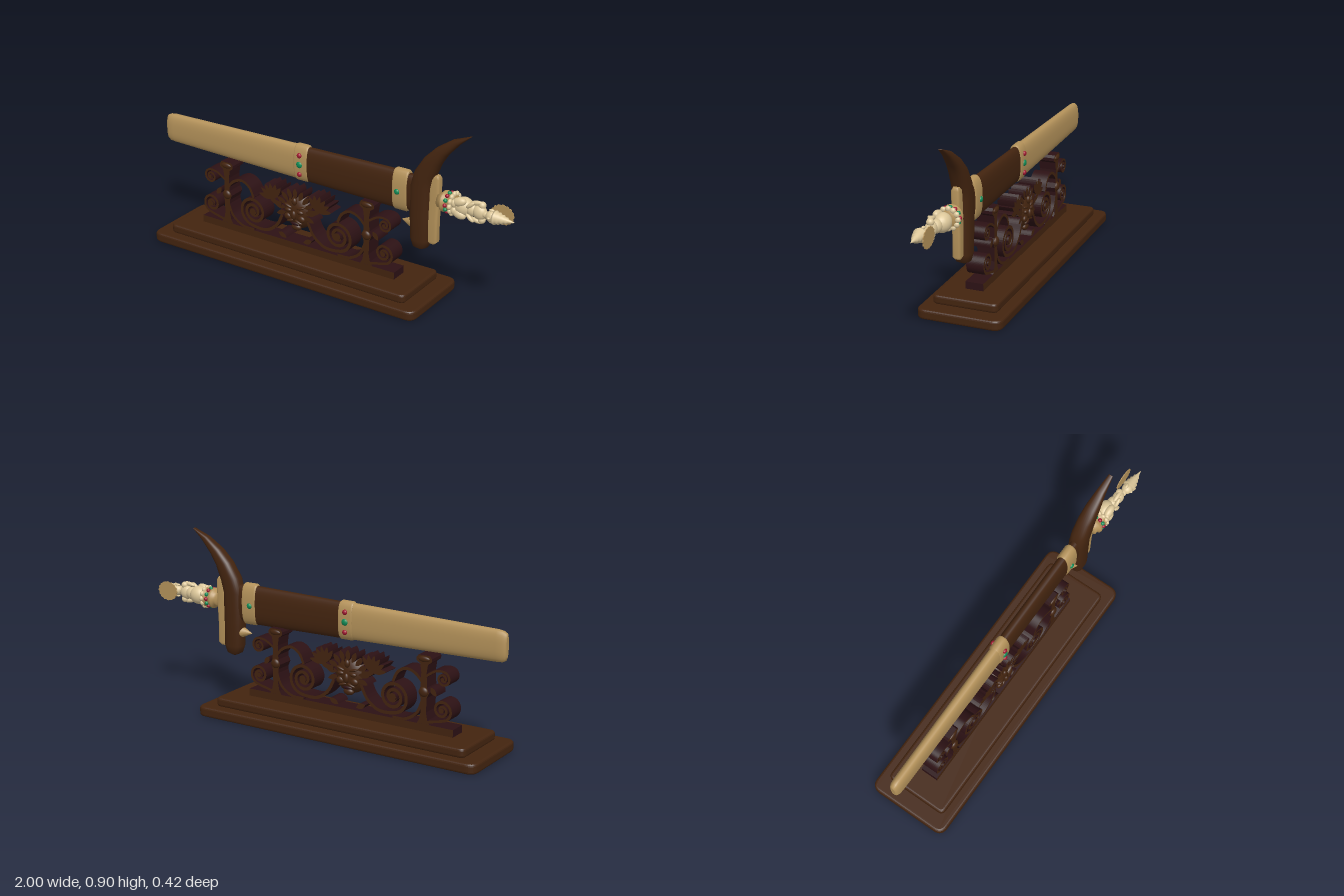
import * as THREE from 'three';

const mat = (name, color, side = THREE.FrontSide) => {
  const m = new THREE.MeshStandardMaterial({ color, side });
  m.name = name;
  return m;
};

export function createModel() {
  const root = new THREE.Group();
  const wood = mat('brown wood', 0x43240f);
  const core = mat('dark carving sides', 0x2c1114);
  const tan = mat('tan horn', 0xb4925a, THREE.DoubleSide);
  const ivory = mat('pale ivory', 0xdcc79a);
  const red = mat('red gem', 0xa01830);
  const green = mat('green gem', 0x0f8a55);
  const carved = [wood, core];

  const add = (name, geo, material, x = 0, y = 0, z = 0) => {
    const m = new THREE.Mesh(geo, material);
    m.name = name;
    m.position.set(x, y, z);
    root.add(m);
    return m;
  };
  const ball = (name, material, x, y, z, rx, ry = rx, rz = rx) => {
    const m = add(name, new THREE.SphereGeometry(1, 20, 14), material, x, y, z);
    m.scale.set(rx, ry, rz);
    return m;
  };
  const extrude = (name, shape, depth, material, bevel = 0) => {
    const geo = new THREE.ExtrudeGeometry(shape, {
      depth: depth - 2 * bevel, curveSegments: 10, bevelEnabled: bevel > 0,
      bevelSize: bevel, bevelThickness: bevel, bevelSegments: 3, bevelOffset: -bevel });
    geo.translate(0, 0, -depth / 2 + bevel);
    return add(name, geo, material);
  };

  // Loft through sections [leftX, leftY, rightX, rightY, halfDepth], superellipse power p
  function loft(name, sections, material, p = 2.5, n = 32) {
    const pos = [], idx = [];
    const ring = ([lx, ly, rx, ry, h]) => {
      for (let j = 0; j < n; j++) {
        const t = (j / n) * Math.PI * 2;
        const c = Math.sign(Math.cos(t)) * Math.abs(Math.cos(t)) ** (2 / p);
        const s = Math.sign(Math.sin(t)) * Math.abs(Math.sin(t)) ** (2 / p);
        pos.push((lx + rx) / 2 + c * (lx - rx) / 2, (ly + ry) / 2 + c * (ly - ry) / 2, s * h);
      }
    };
    sections.forEach(ring);
    for (let i = 0; i < sections.length - 1; i++) for (let j = 0; j < n; j++) {
      const k = (j + 1) % n, a = i * n + j, b = i * n + k;
      idx.push(a, b, a + n, b, b + n, a + n);
    }
    [sections[0], sections[sections.length - 1]].forEach((s, end) => {
      const start = pos.length / 3;
      ring(s);
      pos.push((s[0] + s[2]) / 2, (s[1] + s[3]) / 2, 0);
      for (let j = 0; j < n; j++) {
        const a = start + j, b = start + (j + 1) % n;
        idx.push(start + n, ...(end ? [a, b] : [b, a]));
      }
    });
    const geo = new THREE.BufferGeometry();
    geo.setAttribute('position', new THREE.Float32BufferAttribute(pos, 3));
    geo.setIndex(idx);
    geo.computeVertexNormals();
    return add(name, geo, material);
  }

  // Stepped base
  function slab(name, x0, x1, hz, y, h, r) {
    const s = new THREE.Shape(), w = x1 - x0;
    s.moveTo(x0 + r, -hz).lineTo(x1 - r, -hz).quadraticCurveTo(x1, -hz, x1, -hz + r)
      .lineTo(x1, hz - r).quadraticCurveTo(x1, hz, x1 - r, hz).lineTo(x0 + r, hz)
      .quadraticCurveTo(x0, hz, x0, hz - r).lineTo(x0, -hz + r).quadraticCurveTo(x0, -hz, x0 + r, -hz);
    const m = extrude(name, s, h, wood, 0.012);
    m.rotation.x = -Math.PI / 2;
    m.position.y = y + h / 2;
  }
  slab('baseLower', -0.96, 0.59, 0.212, 0, 0.05, 0.05);
  slab('baseUpper', -0.88, 0.51, 0.163, 0.05, 0.045, 0.03);
  add('plinth', new THREE.BoxGeometry(1.145, 0.037, 0.09), [core, core, core, core, wood, wood], -0.1875, 0.113, 0);

  // Carved stand, mirrored about its own centre line
  const CX = -0.1875, DEPTH = 0.088;
  function ribbon(name, pts, half, s) {
    const curve = new THREE.CatmullRomCurve3(pts.map(([x, y]) => new THREE.Vector3(x * s + CX, y, 0)));
    const N = 90, a = [], b = [];
    for (let i = 0; i <= N; i++) {
      const q = curve.getPointAt(i / N), t = curve.getTangentAt(i / N);
      const h = half * (i === N ? 0.5 : 1);
      a.push(new THREE.Vector2(q.x - t.y * h, q.y + t.x * h));
      b.push(new THREE.Vector2(q.x + t.y * h, q.y - t.x * h));
    }
    extrude(name, new THREE.Shape(a.concat(b.reverse())), DEPTH, carved);
  }
  function scroll(name, s, cx, cy, R, turns, end, dir, half, tail) {
    const pts = [], n = Math.round(turns * 10);
    for (let i = 0; i <= n; i++) {
      const t = i / n, ang = end - dir * turns * 2 * Math.PI * (1 - t), r = (R - half) * (0.16 + 0.84 * t);
      pts.push([cx + r * Math.cos(ang), cy + r * Math.sin(ang)]);
    }
    ribbon(name, pts.concat(tail), half, s);
    const boss = add(name + 'Boss', new THREE.CylinderGeometry(R * 0.22, R * 0.22, DEPTH + 0.012, 16),
      [core, wood, wood], cx * s + CX, cy, 0);
    boss.rotation.x = Math.PI / 2;
  }
  function leaf(name, s, x, y, len, w, ang, depth = DEPTH) {
    const c = Math.cos(ang), d = Math.sin(ang), P = (u, v) => [s * (x + u * c - v * d) + CX, y + u * d + v * c];
    const sh = new THREE.Shape();
    sh.moveTo(...P(0, 0));
    sh.quadraticCurveTo(...P(len * 0.5, w), ...P(len, 0));
    sh.quadraticCurveTo(...P(len * 0.5, -w), ...P(0, 0));
    extrude(name, sh, depth, carved);
  }
  const postProfile = [[0.035, 0.13], [0.022, 0.15], [0.014, 0.19], [0.017, 0.26], [0.028, 0.285],
    [0.017, 0.31], [0.014, 0.38], [0.02, 0.42], [0.04, 0.435], [0.04, 0.45], [0.03, 0.463]];
  const H = Math.PI / 2;
  for (const s of [-1, 1]) {
    const out = postProfile.map(([w, y]) => new THREE.Vector2(s * 0.415 + CX + w, y));
    const inn = postProfile.map(([w, y]) => new THREE.Vector2(s * 0.415 + CX - w, y)).reverse();
    extrude('post', new THREE.Shape(out.concat(inn)), DEPTH, carved);
    for (const z of [-1, 1]) {
      ball('postKnot', wood, s * 0.415 + CX, 0.287, z * 0.044, 0.024, 0.024, 0.014);
      ball('postCapKnot', wood, s * 0.415 + CX, 0.445, z * 0.044, 0.03, 0.014, 0.01);
    }
    // Coordinates here are distances outward from the centre line
    scroll('largeScroll', s, 0.252, 0.235, 0.087, 2.25, -H, -1, 0.008,
      [[0.17, 0.157], [0.11, 0.2], [0.075, 0.265]]);
    scroll('upperScroll', s, 0.515, 0.364, 0.042, 1.75, H, 1, 0.0055, [[0.475, 0.396], [0.425, 0.365]]);
    scroll('lowerScroll', s, 0.512, 0.214, 0.058, 1.9, -H, -1, 0.0065, [[0.46, 0.15], [0.42, 0.14]]);
    ribbon('vine', [[0.41, 0.25], [0.38, 0.18], [0.32, 0.14], [0.25, 0.135]], 0.007, s);
    ribbon('upperVine', [[0.41, 0.33], [0.37, 0.37], [0.32, 0.385], [0.275, 0.36], [0.25, 0.31]], 0.007, s);
    ribbon('palmetteStem', [[0.15, 0.35], [0.12, 0.325], [0.08, 0.32]], 0.012, s);
    for (let i = 0; i < 6; i++) leaf('palmetteLeaf', s, 0.13, 0.335, 0.085, 0.026, 0.15 + i * 0.4);
    leaf('sideLeaf', s, 0.45, 0.315, 0.05, 0.026, -0.9);
    leaf('footLeaf', s, 0.05, 0.145, 0.055, 0.026, 0.4);
  }

  // Carved mask, the same on both faces
  ball('maskHead', wood, CX, 0.295, 0, 0.088, 0.095, 0.054);
  for (let i = 0; i < 11; i++) {
    const a = -0.35 + (i / 10) * (Math.PI + 0.7);
    leaf('maskCrownLeaf', 1, 0.06 * Math.cos(a), 0.305 + 0.06 * Math.sin(a), 0.058, 0.026, a, 0.08);
  }
  for (const z of [-1, 1]) {
    ball('maskNose', wood, CX, 0.285, z * 0.054, 0.014, 0.024, 0.012);
    ball('maskMouth', core, CX, 0.235, z * 0.042, 0.026, 0.009, 0.008);
    ball('maskChin', wood, CX, 0.213, z * 0.03, 0.028, 0.018, 0.016);
    ball('maskJewel', wood, CX, 0.355, z * 0.046, 0.014, 0.02, 0.012);
    for (const s of [-1, 1]) {
      ball('maskEye', wood, CX + s * 0.035, 0.305, z * 0.048, 0.019, 0.011, 0.011);
      ball('maskCheek', wood, CX + s * 0.04, 0.268, z * 0.045, 0.021, 0.018, 0.012);
      ball('maskBrow', wood, CX + s * 0.036, 0.327, z * 0.046, 0.024, 0.007, 0.011).rotation.z = s * 0.3;
      ball('maskMoustache', wood, CX + s * 0.024, 0.251, z * 0.047, 0.023, 0.007, 0.01).rotation.z = -s * 0.3;
    }
  }

  // Sheath with two bands
  const across = (list) => list.map(([x, lo, hi, h]) => [x, hi, x, lo, h]);
  loft('sheathEnd', across([[-1, 0.505, 0.605, 0.012], [-0.995, 0.49, 0.618, 0.02], [-0.98, 0.481, 0.626, 0.026],
    [-0.95, 0.479, 0.63, 0.028], [-0.19, 0.464, 0.643, 0.031]]), tan);
  loft('sheathBody', across([[-0.13, 0.462, 0.641, 0.03], [0.37, 0.454, 0.65, 0.031]]), wood);
  const band = (name, x0, x1, lo, hi, h) => loft(name, across([[x0, lo + 0.006, hi - 0.006, h - 0.004],
    [x0 + 0.008, lo, hi, h], [x1 - 0.008, lo, hi, h], [x1, lo + 0.006, hi - 0.006, h - 0.004]]), tan);
  band('middleBand', -0.2, -0.125, 0.459, 0.65, 0.036);
  band('mouthBand', 0.358, 0.435, 0.45, 0.66, 0.037);
  loft('sheathMouth', across([[0.43, 0.46, 0.645, 0.03], [0.48, 0.46, 0.645, 0.03]]), wood);
  for (const z of [-1, 1]) {
    [[0.6, red, 0.013], [0.552, green, 0.017], [0.502, red, 0.013]].forEach(([y, m, r]) =>
      ball('bandGem', m, -0.165, y, z * 0.034, r, r, 0.01));
    ball('mouthGem', green, 0.387, 0.552, z * 0.036, 0.014, 0.014, 0.01);
  }

  // Curved crosspiece and its pale plate
  loft('crosspiece', [[0.49, 0.28, 0.515, 0.28, 0.015], [0.465, 0.293, 0.54, 0.293, 0.034],
    [0.452, 0.33, 0.553, 0.33, 0.042], [0.446, 0.45, 0.553, 0.45, 0.043], [0.447, 0.6, 0.556, 0.6, 0.043],
    [0.468, 0.675, 0.57, 0.654, 0.043], [0.516, 0.75, 0.6, 0.729, 0.04], [0.575, 0.809, 0.634, 0.782, 0.034],
    [0.655, 0.863, 0.692, 0.846, 0.022], [0.744, 0.897, 0.746, 0.894, 0.011]], wood);
  loft('guardPlate', [[0.555, 0.322, 0.58, 0.322, 0.014], [0.54, 0.335, 0.594, 0.335, 0.02],
    [0.54, 0.45, 0.594, 0.45, 0.021], [0.545, 0.55, 0.6, 0.55, 0.021], [0.55, 0.655, 0.6, 0.655, 0.021],
    [0.562, 0.67, 0.592, 0.67, 0.014]], tan, 4);
  const fang = add('fang', new THREE.ConeGeometry(0.03, 0.065, 16), tan, 0.428, 0.402, 0);
  fang.rotation.z = Math.PI / 2;

  // Turned parts along x: profile points are [radius, x]
  const turned = (name, pts, material, y, z) => {
    const m = add(name, new THREE.LatheGeometry(pts.map(([r, x]) => new THREE.Vector2(r, x)), 28), material, 0, y, z);
    m.rotation.z = -Math.PI / 2;
  };
  turned('collar', [[0, 0.59], [0.036, 0.595], [0.036, 0.61], [0.05, 0.618], [0.052, 0.628], [0.043, 0.64],
    [0.043, 0.655], [0.052, 0.664], [0.05, 0.674], [0.03, 0.685], [0, 0.69]], tan, 0.553, 0);
  for (let i = 0; i < 12; i++) {
    const a = (i / 12) * Math.PI * 2, c = Math.cos(a), d = Math.sin(a);
    ball('collarGem', i % 2 ? green : red, 0.647, 0.553 + 0.045 * d, 0.045 * c, 0.01);
    ball('collarPetal', ivory, 0.672, 0.553 + 0.046 * d, 0.046 * c, 0.011, 0.014, 0.014);
  }

  // Seated figure forming the grip
  ball('figureHips', ivory, 0.725, 0.553, 0.004, 0.05, 0.046, 0.042);
  ball('figureWaist', ivory, 0.775, 0.553, 0.012, 0.035, 0.032, 0.028);
  ball('figureChest', ivory, 0.815, 0.553, 0.018, 0.036, 0.036, 0.027);
  ball('figureNeck', ivory, 0.85, 0.553, 0.025, 0.022, 0.016, 0.016);
  for (const s of [-1, 1]) {
    ball('figureThigh', ivory, 0.715, 0.553 + s * 0.03, 0.03, 0.036, 0.022, 0.02).rotation.z = s * 0.3;
    ball('figureFoot', ivory, 0.69, 0.553 + s * 0.018, 0.035, 0.015, 0.02, 0.015);
    ball('figureShoulder', ivory, 0.825, 0.553 + s * 0.036, 0.016, 0.018);
    ball('figureArm', ivory, 0.798, 0.553 + s * 0.043, 0.022, 0.032, 0.011, 0.011).rotation.z = s * 0.2;
    ball('figureForearm', ivory, 0.775, 0.553 + s * 0.032, 0.038, 0.026, 0.01, 0.01).rotation.z = s * 0.7;
    ball('figureEar', ivory, 0.878, 0.553 + s * 0.028, 0.025, 0.014, 0.007, 0.008);
  }
  ball('figureHead', ivory, 0.88, 0.553, 0.028, 0.029, 0.027, 0.026);
  ball('figureNose', ivory, 0.877, 0.553, 0.054, 0.008, 0.005, 0.006);
  turned('figureCrown', [[0, 0.885], [0.032, 0.893], [0.034, 0.902], [0.027, 0.908], [0.029, 0.92], [0.021, 0.928],
    [0.023, 0.94], [0.015, 0.947], [0.016, 0.958], [0.009, 0.966], [0, 1]], ivory, 0.553, 0.03);

  // Thin scalloped halo behind the head
  const halo = new THREE.Shape();
  for (let i = 0; i < 80; i++) {
    const a = (i / 80) * Math.PI * 2, r = 1 + 0.04 * Math.cos(a * 16);
    halo[i ? 'lineTo' : 'moveTo'](0.912 + 0.058 * r * Math.cos(a), 0.553 + 0.048 * r * Math.sin(a));
  }
  extrude('halo', halo, 0.004, tan).position.z = -0.015;

  return root;
}
